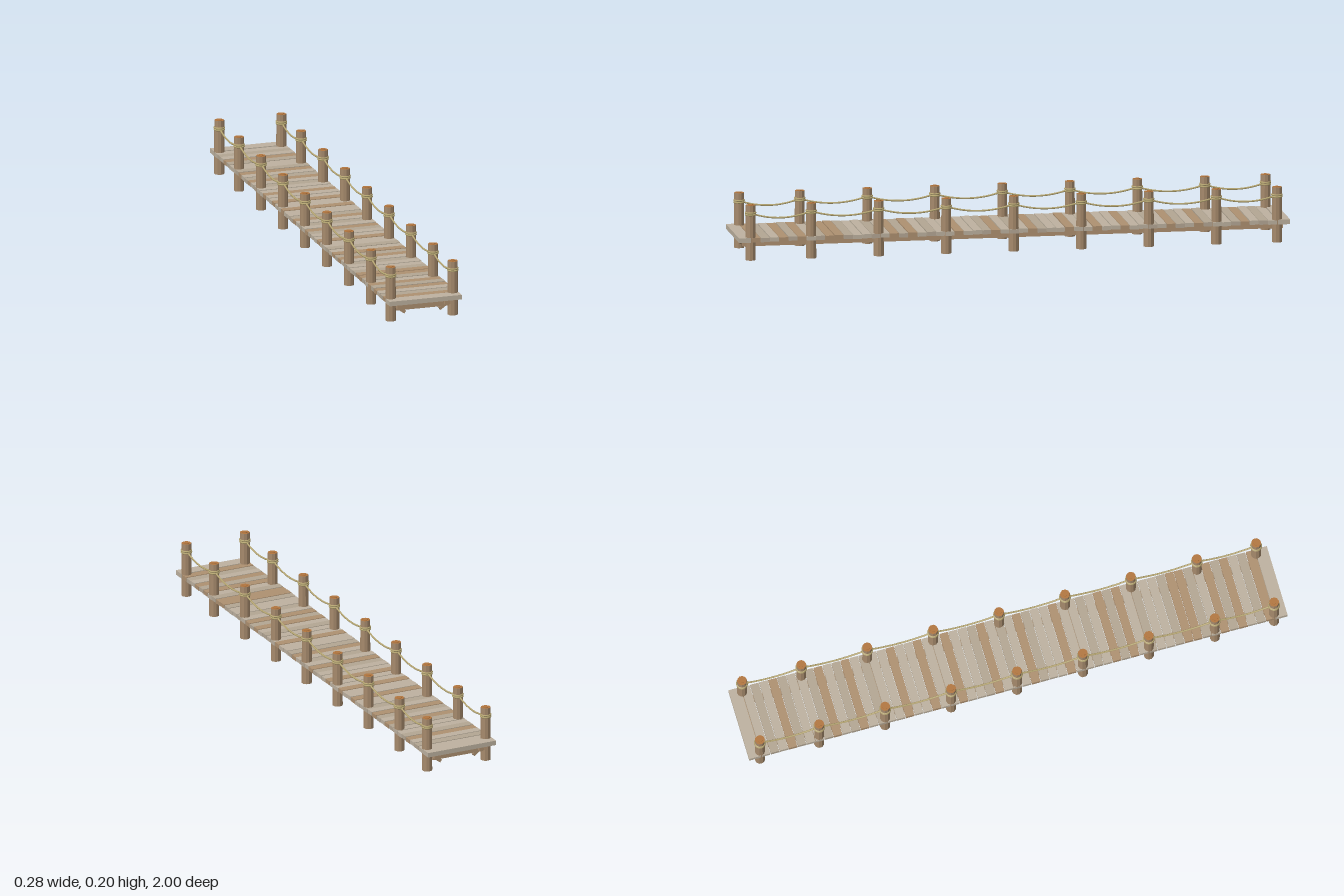
import * as THREE from 'three';

const mat = (name, color) => {
  const m = new THREE.MeshStandardMaterial({ color });
  m.name = name;
  return m;
};

export function createModel() {
  const model = new THREE.Group();
  model.name = 'ropePier';
  const greyWood = mat('weatheredGrey', 0xbdb19f);
  const darkGreyWood = mat('weatheredDark', 0xb3a693);
  const brownWood = mat('brownPlank', 0xad9070);
  const beamWood = mat('beamWood', 0xae9070);
  const postWood = mat('postWood', 0xa68a6c);
  const endGrain = mat('endGrain', 0xb2763f);
  const ropeMat = mat('rope', 0xb9a974);
  postWood.flatShading = true;

  const add = (name, geo, material, x, y, z) => {
    const m = new THREE.Mesh(geo, material);
    m.name = name;
    m.position.set(x, y, z);
    model.add(m);
    return m;
  };
  const box = (name, w, h, d, material, x, y, z) =>
    add(name, new THREE.BoxGeometry(w, h, d), material, x, y, z);

  const postZ = [-0.955, -0.735, -0.49, -0.245, 0, 0.245, 0.49, 0.735, 0.955];
  const postX = 0.117;

  // Deck planks with narrow gaps and slightly uneven heights
  const plankCount = 57;
  const pitch = 1.908 / plankCount;
  const brownPlanks = [3, 8, 11, 16, 19, 22, 26, 30, 34, 39, 41, 47, 48, 51, 53, 56];
  for (let i = 0; i < plankCount; i++) {
    const shade = brownPlanks.includes(i) ? brownWood : i % 3 === 1 ? darkGreyWood : greyWood;
    const y = 0.0745 + ((i * 7) % 5 - 2) * 0.0005;
    box('deckPlank', 0.27, 0.015, pitch - 0.0025, shade, 0, y, -0.954 + pitch * (i + 0.5));
  }
  for (const s of [-1, 1]) box('endBoard', 0.272, 0.017, 0.044, greyWood, 0, 0.0745, s * 0.978);

  // Stringers under the deck
  for (const s of [-1, 1]) box('stringer', 0.02, 0.022, 1.96, beamWood, s * 0.09, 0.057, 0);

  // Posts, caps, rope lashings, cross beams and short braces
  const postGeo = new THREE.CylinderGeometry(0.0178, 0.0185, 0.2, 10);
  const capGeo = new THREE.CylinderGeometry(0.0095, 0.0095, 0.002, 10);
  const ringGeo = new THREE.TorusGeometry(0.0175, 0.0036, 6, 16).rotateX(Math.PI / 2);
  for (const z of postZ) {
    box('crossBeam', 0.2, 0.025, 0.022, beamWood, 0, 0.05, z);
    for (const s of [-1, 1]) {
      add('post', postGeo, [postWood, endGrain, postWood], s * postX, 0.1, z);
      add('postCap', capGeo, endGrain, s * postX, 0.201, z);
      for (const y of [0.1655, 0.1725]) add('ropeLashing', ringGeo, ropeMat, s * postX, y, z);
      const brace = box('brace', 0.054, 0.012, 0.016, beamWood, s * 0.087, 0.043, z);
      brace.rotation.z = s * 0.62;
    }
  }

  // Sagging ropes between neighbouring posts
  for (const s of [-1, 1]) {
    for (let i = 0; i < postZ.length - 1; i++) {
      const a = postZ[i], b = postZ[i + 1], pts = [];
      for (let k = 0; k <= 8; k++) {
        const t = k / 8;
        pts.push(new THREE.Vector3(s * postX, 0.17 - 0.02 * 4 * t * (1 - t), a + (b - a) * t));
      }
      const curve = new THREE.CatmullRomCurve3(pts);
      add('handRope', new THREE.TubeGeometry(curve, 16, 0.0033, 6), ropeMat, 0, 0, 0);
    }
  }
  return model;
}
